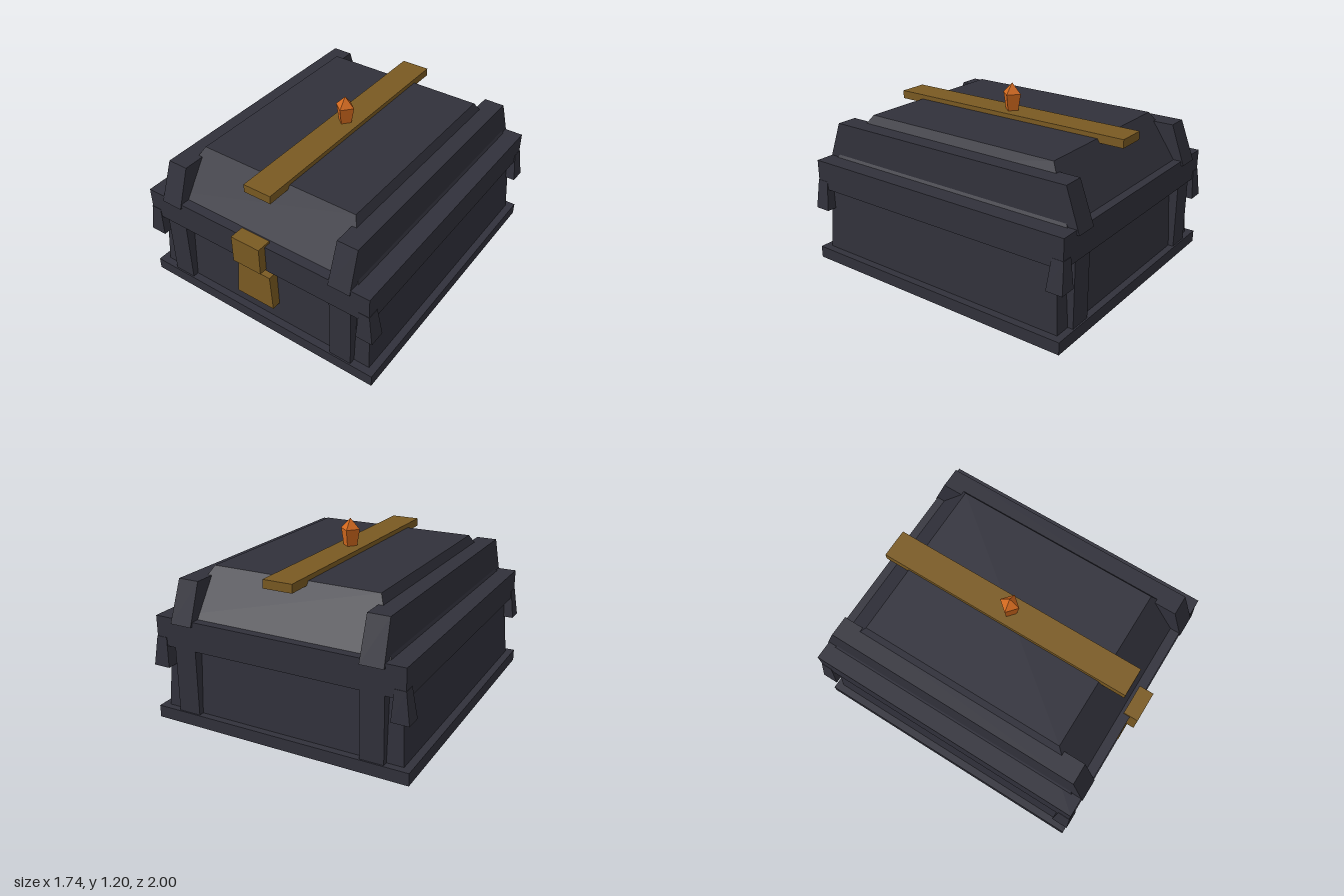
import * as THREE from 'three';

// Box with different bottom and top rectangles; each is [x0, x1, z0, z1]
function taper(bottom, top, y0, y1) {
  const g = new THREE.BoxGeometry(1, 1, 1);
  const p = g.attributes.position;
  for (let i = 0; i < p.count; i++) {
    const up = p.getY(i) > 0;
    const r = up ? top : bottom;
    p.setXYZ(i, p.getX(i) < 0 ? r[0] : r[1], up ? y1 : y0, p.getZ(i) < 0 ? r[2] : r[3]);
  }
  g.computeVertexNormals();
  return g;
}

export function createModel() {
  const group = new THREE.Group();
  const makeMaterial = (name, color) => {
    const m = new THREE.MeshStandardMaterial({ color, flatShading: true });
    m.name = name;
    return m;
  };
  const dark = makeMaterial('dark slate', 0x31313b);
  const gold = makeMaterial('aged brass', 0x7a5a22);
  const orange = makeMaterial('orange crystal', 0xd2691e);

  const add = (name, material, y0, y1, bottom, top = bottom) => {
    const mesh = new THREE.Mesh(taper(bottom, top, y0, y1), material);
    mesh.name = name;
    group.add(mesh);
  };

  // Body
  add('basePlate', dark, 0, 0.08, [-0.87, 0.87, -0.985, 0.95]);
  add('chestBody', dark, 0.08, 0.52, [-0.82, 0.82, -0.94, 0.9], [-0.795, 0.795, -0.91, 0.87]);
  add('rim', dark, 0.51, 0.7, [-0.84, 0.84, -0.98, 0.945]);

  // Lid
  add('lid', dark, 0.7, 0.99, [-0.723, 0.723, -0.925, 0.88], [-0.565, 0.565, -0.725, 0.68]);

  // Parts repeated on both sides
  for (const s of [-1, 1]) {
    const side = s < 0 ? 'right' : 'left';
    const span = (a, b) => (s < 0 ? [-b, -a] : [a, b]);
    add(side + 'LidBeam', dark, 0.67, 0.935,
      [...span(0.565, 0.715), -0.997, 0.957], [...span(0.565, 0.705), -0.9, 0.863]);

    // Front and back posts
    add(side + 'FrontPost', dark, 0.08, 0.51, [...span(0.56, 0.712), 0.8, 0.94]);
    add(side + 'BackPost', dark, 0.08, 0.51, [...span(0.56, 0.712), -0.975, -0.84]);

    // Corner guards
    add(side + 'FrontGuard', dark, 0.37, 0.565,
      [...span(0.757, 0.87), 0.848, 0.957], [...span(0.77, 0.842), 0.865, 0.947]);
    add(side + 'BackGuard', dark, 0.37, 0.565,
      [...span(0.757, 0.87), -0.997, -0.888], [...span(0.77, 0.842), -0.983, -0.905]);
  }

  // Brass fittings
  add('lidStrip', gold, 0.965, 1.02, [-0.098, 0.098, -0.902, 0.86]);
  add('claspUpper', gold, 0.525, 0.715, [-0.105, 0.105, 0.9, 1]);
  add('claspLower', gold, 0.21, 0.455, [-0.143, 0.143, 0.86, 0.952], [-0.123, 0.123, 0.86, 0.945]);

  // Four-sided crystal
  const profile = [[0, 1.01], [0.047, 1.015], [0.066, 1.13], [0, 1.2]];
  const crystal = new THREE.Mesh(
    new THREE.LatheGeometry(profile.map(([x, y]) => new THREE.Vector2(x, y)), 4), orange);
  crystal.name = 'crystal';
  crystal.position.z = -0.022;
  crystal.rotation.y = 0.08;
  group.add(crystal);

  return group;
}
